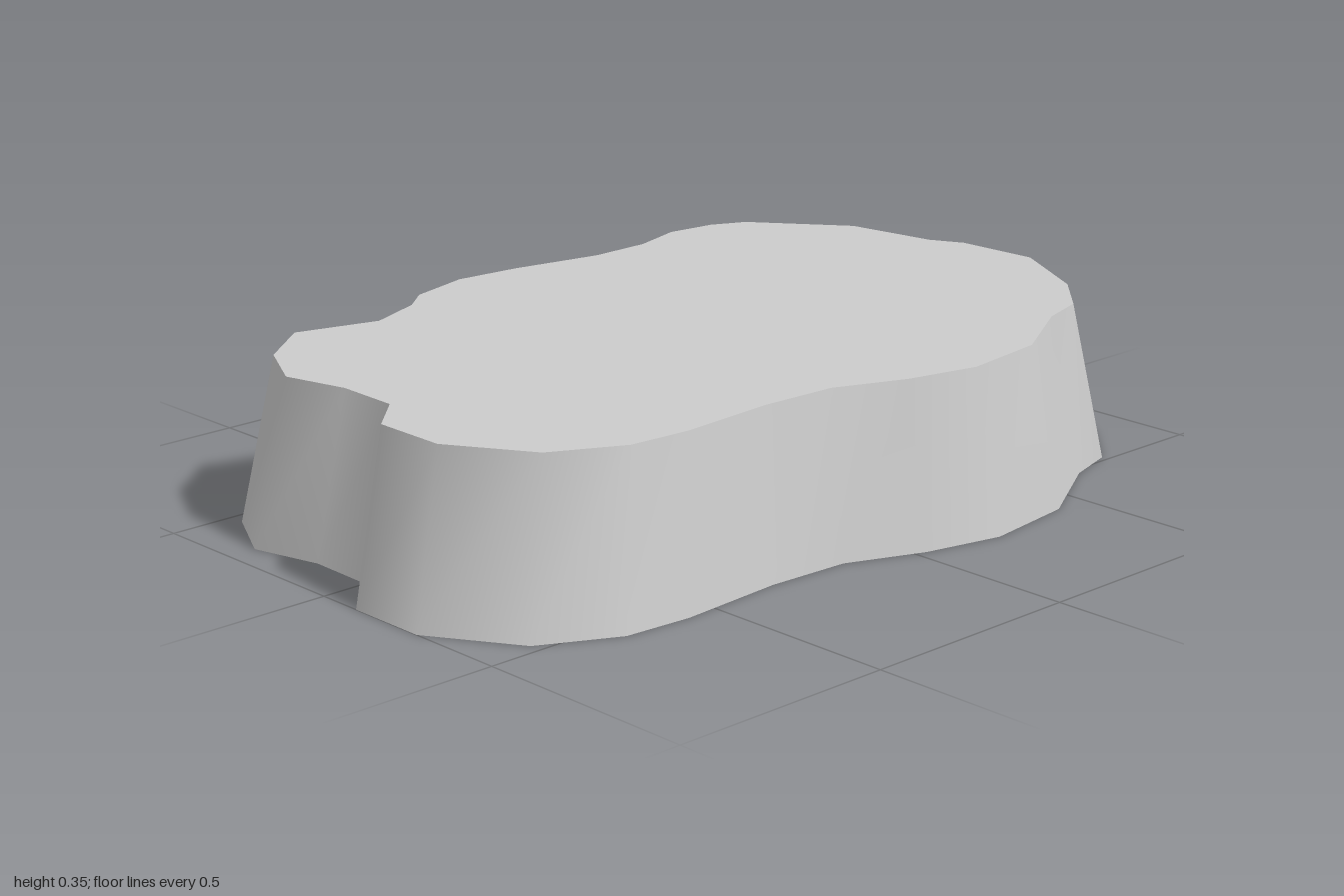
import * as THREE from 'three';

const HEIGHT = 0.35;
const TAPER = 0.917;

// Base outline as x, z pairs, counter-clockwise seen from above
const OUTLINE = [
  [0.135, -1], [-0.075, -0.99], [-0.155, -0.95], [-0.385, -0.915],
  [-0.605, -0.745], [-0.645, -0.66], [-0.66, -0.535], [-0.62, -0.4],
  [-0.617, -0.243], [-0.66, -0.015], [-0.675, 0.148], [-0.632, 0.307],
  [-0.575, 0.375], [-0.52, 0.515], [-0.575, 0.715], [-0.463, 0.857],
  [-0.31, 0.937], [-0.155, 0.897], [0.003, 0.9], [0.1, 1],
  [0.283, 1], [0.473, 0.883], [0.558, 0.72], [0.57, 0.57],
  [0.553, 0.33], [0.563, 0.143], [0.632, -0.026], [0.672, -0.2],
  [0.643, -0.418], [0.52, -0.63], [0.484, -0.75], [0.362, -0.873],
];

export function createModel() {
  const group = new THREE.Group();
  group.name = 'plateau';
  const stone = new THREE.MeshStandardMaterial({ color: 0xcccccc, side: THREE.DoubleSide });
  stone.name = 'light grey';

  const rim = OUTLINE.map(([x, z]) => [x * TAPER - 0.004, z * TAPER]);
  const n = OUTLINE.length;

  // Sloping side wall, open underneath, smooth around the loop
  const positions = [];
  const indices = [];
  for (let i = 0; i < n; i++) {
    positions.push(OUTLINE[i][0], 0, OUTLINE[i][1], rim[i][0], HEIGHT, rim[i][1]);
    const b = 2 * i, next = 2 * ((i + 1) % n);
    indices.push(b, next, next + 1, b, next + 1, b + 1);
  }
  const wallGeometry = new THREE.BufferGeometry();
  wallGeometry.setAttribute('position', new THREE.Float32BufferAttribute(positions, 3));
  wallGeometry.setIndex(indices);
  wallGeometry.computeVertexNormals();
  const wall = new THREE.Mesh(wallGeometry, stone);
  wall.name = 'sideWall';

  // Flat top
  const shape = new THREE.Shape(rim.map(([x, z]) => new THREE.Vector2(x, -z)));
  const topGeometry = new THREE.ShapeGeometry(shape);
  topGeometry.rotateX(-Math.PI / 2).translate(0, HEIGHT, 0);
  const top = new THREE.Mesh(topGeometry, stone);
  top.name = 'flatTop';

  group.add(wall, top);
  return group;
}
